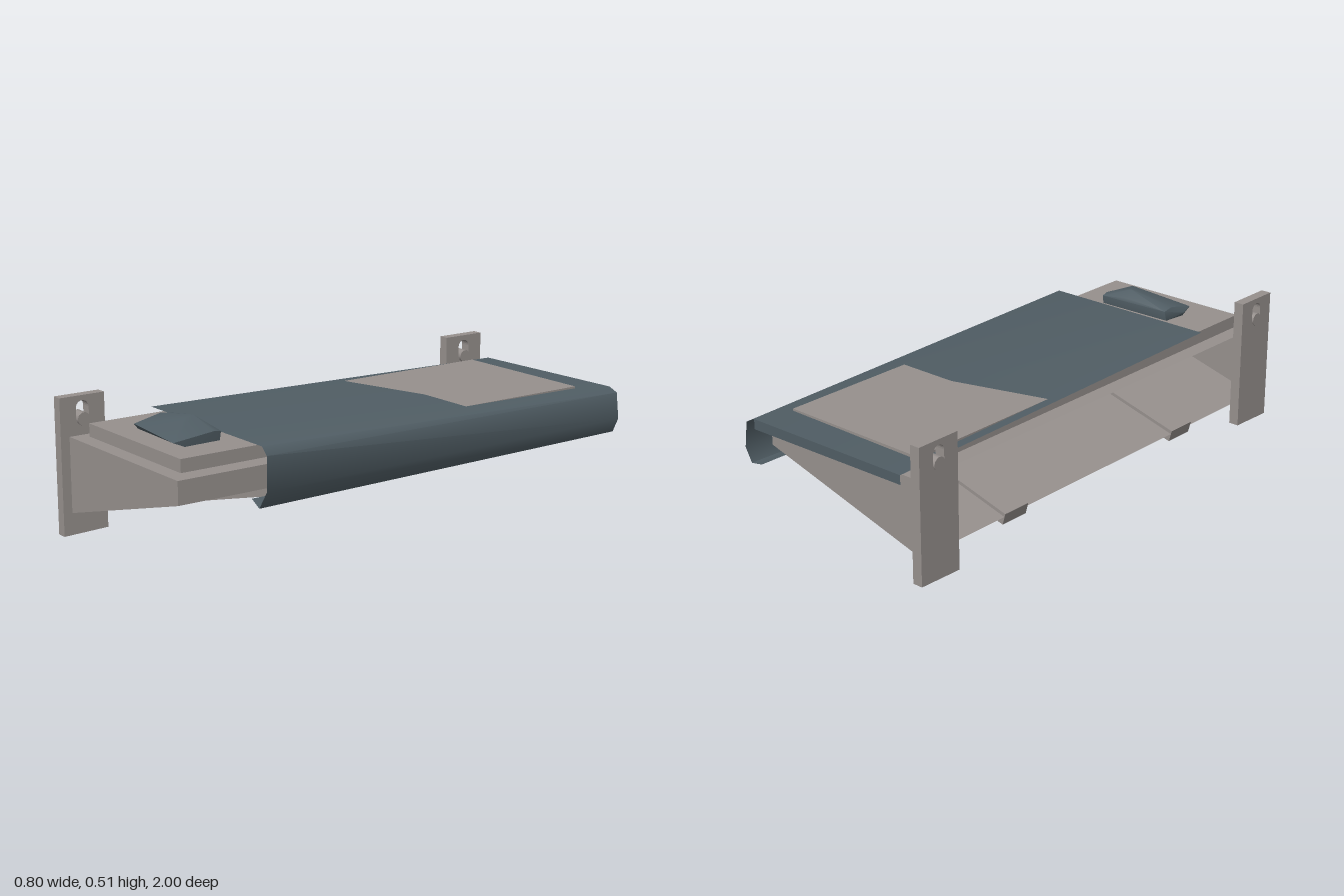
import * as THREE from 'three';
import { toCreasedNormals } from 'three/addons/utils/BufferGeometryUtils.js';
import { ConvexGeometry } from 'three/addons/geometries/ConvexGeometry.js';

const V = (x, y, z) => new THREE.Vector3(x, y, z);

// Ruled surface through a list of cross-sections with equal point counts
function ruled(rows, crease) {
  const pos = [];
  for (let r = 0; r < rows.length - 1; r++) {
    for (let i = 0; i < rows[r].length - 1; i++) {
      const a = rows[r][i], b = rows[r][i + 1], c = rows[r + 1][i + 1], d = rows[r + 1][i];
      for (const p of [a, b, c, a, c, d]) pos.push(...p);
    }
  }
  const g = new THREE.BufferGeometry();
  g.setAttribute('position', new THREE.Float32BufferAttribute(pos, 3));
  return toCreasedNormals(g, crease);
}

export function createModel() {
  const model = new THREE.Group();
  model.name = 'wallBunk';
  const grey = new THREE.MeshStandardMaterial({ color: 0x96908d, side: THREE.DoubleSide });
  grey.name = 'warmGrey';
  const slate = new THREE.MeshStandardMaterial({ color: 0x505d64, side: THREE.DoubleSide });
  slate.name = 'slateBlue';

  const add = (name, geometry, material, x = 0, y = 0, z = 0) => {
    const m = new THREE.Mesh(geometry, material);
    m.name = name;
    m.position.set(x, y, z);
    model.add(m);
    return m;
  };

  // Wall posts with an arched slot and a hinge pin resting in it
  for (const z of [0.91, -0.86]) {
    const s = new THREE.Shape();
    s.moveTo(-0.09, 0.005);
    s.lineTo(0.09, 0);
    s.lineTo(0.09, 0.51);
    s.lineTo(-0.09, 0.51);
    s.closePath();
    const hole = new THREE.Path();
    hole.moveTo(-0.026, 0.42);
    hole.lineTo(-0.026, 0.465);
    hole.absarc(0, 0.465, 0.026, Math.PI, 0, true);
    hole.lineTo(0.026, 0.42);
    hole.closePath();
    s.holes.push(hole);
    const g = new THREE.ExtrudeGeometry(s, { depth: 0.04, bevelEnabled: false, curveSegments: 6 });
    g.rotateY(-Math.PI / 2);
    add('wallPost', g, grey, -0.36, 0, z);
    const pin = new THREE.CylinderGeometry(0.025, 0.025, 0.055, 10);
    pin.rotateZ(Math.PI / 2);
    add('hingePin', pin, grey, -0.377, 0.425, z);
  }

  // Hollow wedge-shaped bunk tray, open towards the wall
  const zf = 0.965, zb = -0.91;
  const section = [[-0.36, 0.365], [0.36, 0.365], [0.36, 0.28], [-0.36, 0.083]];
  const at = (z) => section.map(([x, y]) => [x, y, z]);
  add('bunkTray', ruled([at(zf), at(zb)], 0.3), grey);
  for (const z of [zf, zb]) {
    const end = new THREE.ShapeGeometry(new THREE.Shape(section.map(([x, y]) => new THREE.Vector2(x, y))));
    if (z < 0) end.rotateY(Math.PI).scale(-1, 1, 1);
    add('trayEnd', end, grey, 0, 0, z);
  }

  // Sloping braces under the tray
  const slope = Math.atan2(0.197, 0.72);
  for (const z of [0.5, -0.44]) {
    const brace = add('brace', new THREE.BoxGeometry(0.69, 0.046, 0.12), grey, -0.025, 0.164, z);
    brace.rotation.z = slope;
  }

  // Mattress, its foot showing through the sagging blanket
  add('mattress', new THREE.BoxGeometry(0.605, 0.048, 1.775), grey, -0.0025, 0.394, 0.0275);

  // Blanket sheet draped and tucked under the open side
  const front = [[-0.34, 0.432], [0.37, 0.432], [0.398, 0.405], [0.398, 0.28], [0.35, 0.21], [0.305, 0.235]]
    .map(([x, y]) => [x, y, 0.638]);
  const back = [[-0.34, 0.405, -0.978], [0.35, 0.408, -0.995], [0.385, 0.39, -1],
    [0.398, 0.29, -1], [0.375, 0.235, -0.995], [0.33, 0.24, -0.99]];
  add('blanket', ruled([front, back], 0.75), slate);
  const hem = [[-0.34, 0.37, -0.978], [0.35, 0.37, -0.995]];
  add('blanketFoot', ruled([back.slice(0, 2), hem], 0.5), slate);

  // Faceted pillow, high at the rear and low at the front
  const pillow = new ConvexGeometry([
    V(-0.15, 0.418, 0.77), V(-0.14, 0.418, 0.68), V(0.17, 0.418, 0.675), V(0.175, 0.418, 0.82), V(-0.13, 0.42, 0.82),
    V(-0.14, 0.437, 0.83), V(0.175, 0.438, 0.865), V(-0.155, 0.43, 0.77),
    V(-0.135, 0.463, 0.72), V(-0.135, 0.455, 0.675), V(0.06, 0.492, 0.71), V(0.06, 0.485, 0.745),
    V(0.175, 0.455, 0.7), V(0.17, 0.45, 0.67), V(0.05, 0.465, 0.675),
  ]);
  add('pillow', toCreasedNormals(pillow, 0.7), slate);

  return model;
}
